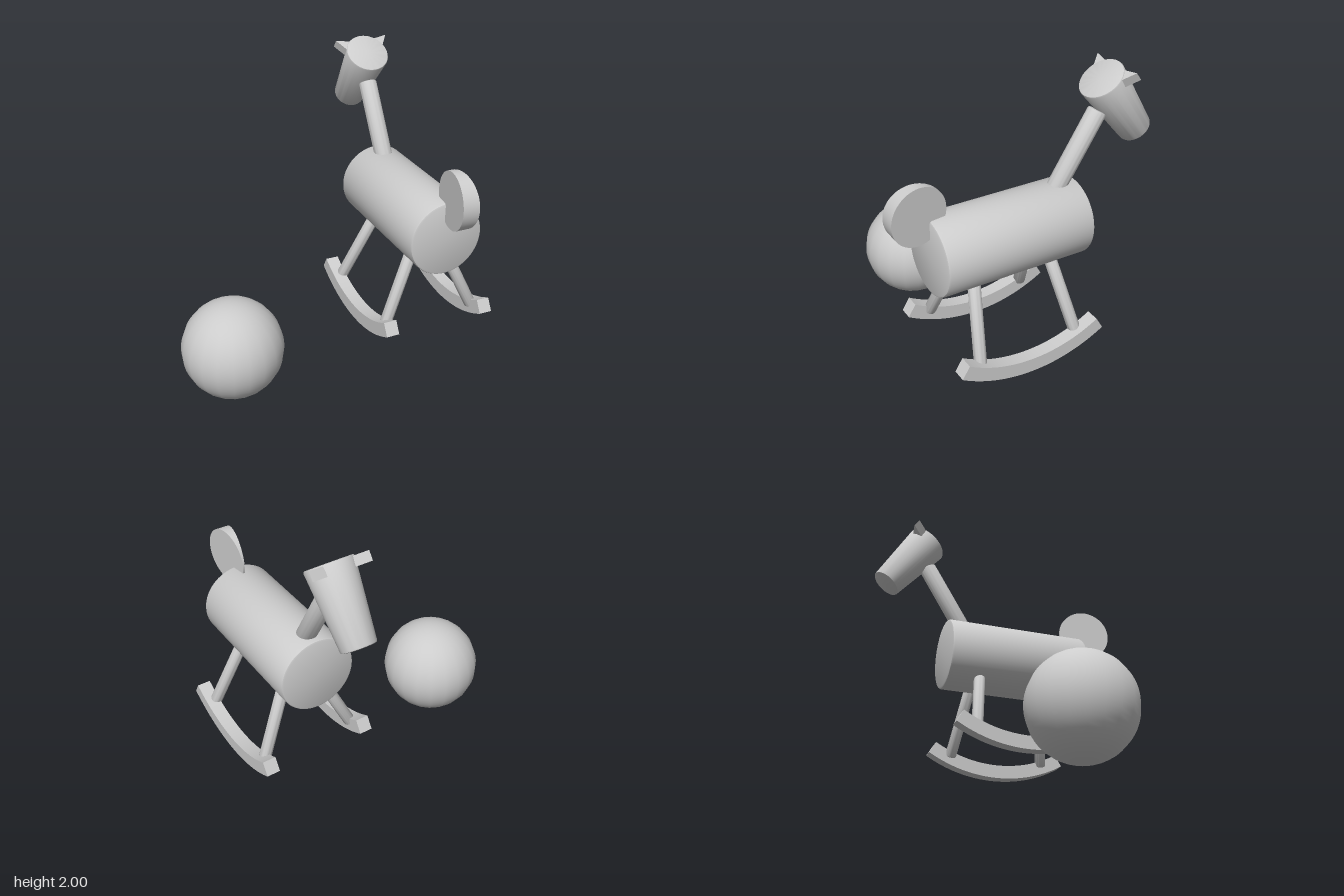
import * as THREE from 'three';
import { toCreasedNormals } from 'three/addons/utils/BufferGeometryUtils.js';

const material = new THREE.MeshStandardMaterial({ color: 0xcccccc });
const V = (x, y, z) => new THREE.Vector3(x, y, z);
const UP = V(0, 1, 0);

function add(parent, name, geometry) {
  const mesh = new THREE.Mesh(geometry, material);
  mesh.name = name;
  parent.add(mesh);
  return mesh;
}

// Round bar from a to b, with radius ra at a and rb at b, and small bevels on the rims
function bar(parent, name, a, b, ra, rb = ra, bevel = 0.012, sides = 48) {
  const length = a.distanceTo(b);
  const profile = [
    [0, 0], [ra - bevel, 0], [ra - bevel * 0.3, bevel * 0.3], [ra, bevel],
    [rb, length - bevel], [rb - bevel * 0.3, length - bevel * 0.3], [rb - bevel, length], [0, length],
  ].map(([r, y]) => new THREE.Vector2(r, y));
  const mesh = add(parent, name, toCreasedNormals(new THREE.LatheGeometry(profile, sides), 0.6));
  mesh.position.copy(a);
  mesh.quaternion.setFromUnitVectors(UP, b.clone().sub(a).normalize());
  return mesh;
}

// Curved runner: a slice of a ring, centred on its own thickness
function rockerGeometry(outer, inner, halfAngle, width) {
  const shape = new THREE.Shape();
  const down = -Math.PI / 2;
  shape.absarc(0, 0, outer, down - halfAngle, down + halfAngle, false);
  shape.absarc(0, 0, inner, down + halfAngle, down - halfAngle, true);
  shape.closePath();
  const g = new THREE.ExtrudeGeometry(shape, { depth: width, bevelEnabled: false, curveSegments: 24 });
  g.translate(0, 0, -width / 2).rotateY(Math.PI / 2);
  return toCreasedNormals(g, 0.5);
}

// Round disc whose thickness grows from the inner edge to the outer edge
function tailGeometry(radius) {
  const g = new THREE.CylinderGeometry(radius, radius, 2, 64).rotateZ(Math.PI / 2);
  const p = g.attributes.position;
  for (let i = 0; i < p.count; i++) {
    const t = (p.getZ(i) + radius) / (2 * radius);
    p.setX(i, p.getX(i) * (0.006 + 0.048 * t));
  }
  return toCreasedNormals(g, 0.6);
}

export function createModel() {
  const model = new THREE.Group();
  model.name = 'rockingAnimalAndBall';

  const ball = add(model, 'ball', new THREE.SphereGeometry(0.326, 20, 32));
  ball.position.set(-0.635, 0.326, 0.13);

  const animal = new THREE.Group();
  animal.name = 'rockingAnimal';
  animal.position.x = 0.58;
  model.add(animal);

  // Body and neck
  bar(animal, 'body', V(0, 1.08, -0.35), V(0, 1.08, 0.615), 0.24, 0.24, 0.014, 64);
  bar(animal, 'neck', V(0, 1.2, -0.171), V(0, 1.72, -0.493), 0.058);

  // Head with its ears; local y runs from muzzle to crown, local -z towards the brow
  const head = new THREE.Group();
  head.name = 'head';
  head.position.set(0, 1.917, -0.5);
  head.rotation.x = Math.atan2(0.278, 0.374);
  animal.add(head);
  bar(head, 'skull', V(0, -0.466, 0), V(0, 0, 0), 0.102, 0.141, 0.01);

  for (const side of [-1, 1]) {
    const ear = new THREE.Shape([[0.18, 0.126], [0.085, 0.108], [0.128, 0.045]]
      .map(([x, f]) => new THREE.Vector2(side * x, f)));
    const earGeometry = new THREE.ExtrudeGeometry(ear, { depth: 0.058, bevelEnabled: false });
    earGeometry.rotateX(-Math.PI / 2).translate(0, -0.066, 0);
    add(head, side > 0 ? 'leftEar' : 'rightEar', earGeometry);
  }

  // Tail
  add(animal, 'tail', tailGeometry(0.178)).position.set(0, 1.37, 0.68);

  // Runners, each with two splayed legs
  const runner = rockerGeometry(0.94, 0.85, 0.538, 0.085);
  for (const side of [-1, 1]) {
    const label = side > 0 ? 'left' : 'right';
    add(animal, label + 'Rocker', runner).position.set(side * 0.333, 1.281, 0.132);
    for (const end of [-1, 1]) {
      bar(animal, label + 'Leg' + (end > 0 ? 'A' : 'B'),
        V(side * 0.312, 0.46, 0.132 + end * 0.328),
        V(side * 0.065, 1.0, 0.132 + end * 0.242), 0.038, 0.038, 0.01, 32);
    }
  }

  return model;
}
